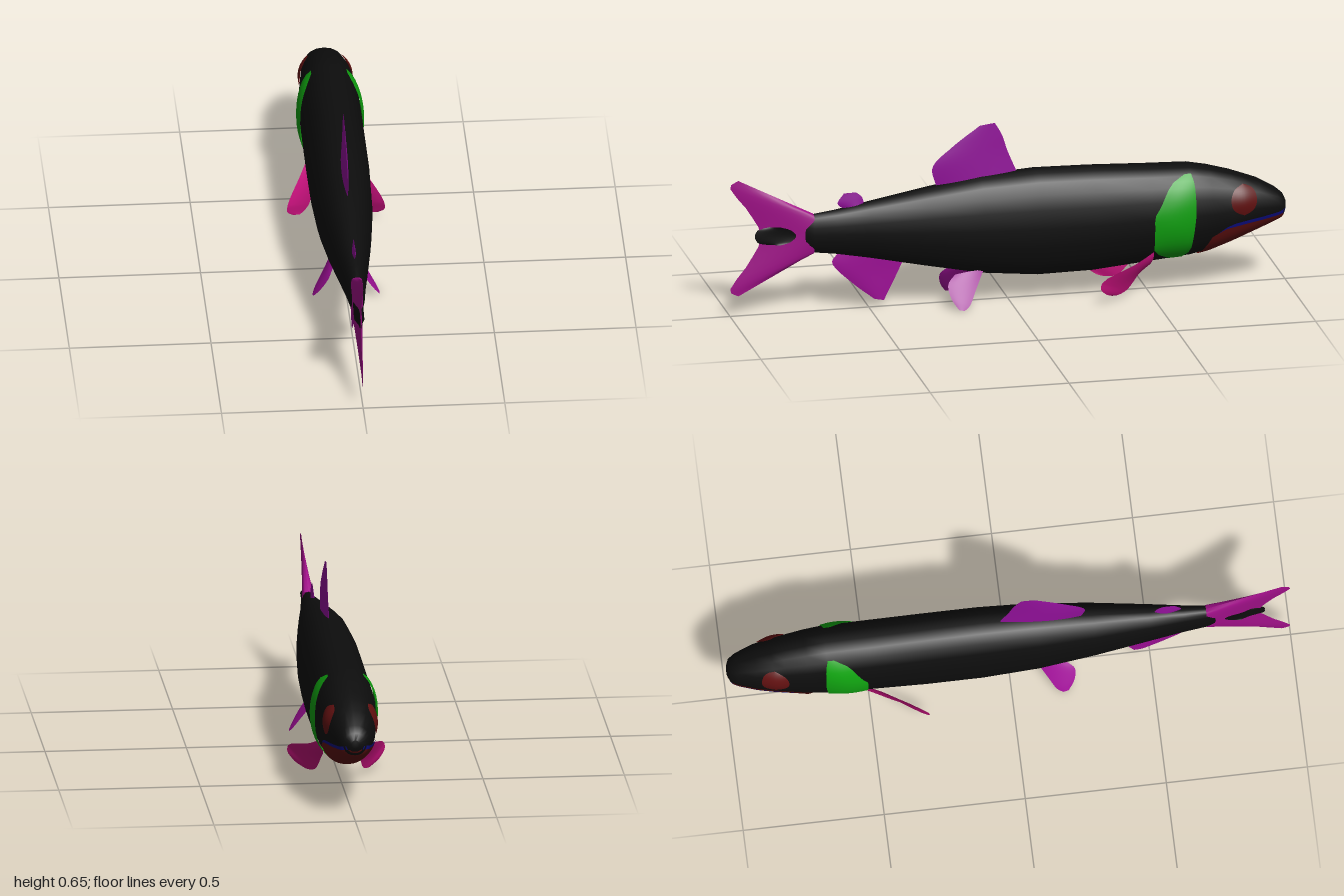
import * as THREE from 'three';

const paint = (name, color, side = THREE.DoubleSide) => {
  const m = new THREE.MeshStandardMaterial({ color, side });
  m.name = name;
  return m;
};

// Body stations: z, top, bottom, half width (the nose is at -z)
const STATIONS = [
  [-1, 0.302, 0.272, 0.015], [-0.99, 0.325, 0.245, 0.04], [-0.965, 0.347, 0.234, 0.055],
  [-0.9, 0.385, 0.208, 0.076], [-0.84, 0.408, 0.184, 0.087], [-0.8, 0.423, 0.168, 0.092],
  [-0.72, 0.446, 0.14, 0.102], [-0.65, 0.46, 0.125, 0.107], [-0.5, 0.465, 0.11, 0.108],
  [-0.3, 0.474, 0.091, 0.108], [-0.1, 0.478, 0.088, 0.107], [0.1, 0.465, 0.108, 0.1],
  [0.3, 0.432, 0.148, 0.081], [0.5, 0.396, 0.19, 0.055], [0.62, 0.374, 0.212, 0.038],
  [0.7, 0.364, 0.222, 0.029], [0.73, 0.345, 0.24, 0.022], [0.745, 0.31, 0.275, 0.01],
];
const POWER = 0.9; // slightly fuller than an ellipse

// Linear lookup in a table keyed by its first column
function lookup(table, z) {
  let i = 0;
  while (i < table.length - 2 && z > table[i + 1][0]) i++;
  const a = table[i], b = table[i + 1];
  const t = THREE.MathUtils.clamp((z - a[0]) / (b[0] - a[0]), 0, 1);
  return a.map((v, k) => v + (b[k] - v) * t);
}

// Point on the body at z, angle from the top, raised by a given amount
function skin(z, angle, lift = 0) {
  const [, top, bottom, w] = lookup(STATIONS, z);
  const h = (top - bottom) / 2, c = (top + bottom) / 2;
  const bend = (v) => Math.sign(v) * Math.abs(v) ** POWER;
  const x = w * bend(Math.sin(angle)), y = h * bend(Math.cos(angle));
  const n = new THREE.Vector2(x / (w * w), y / (h * h)).normalize();
  return new THREE.Vector3(x + n.x * lift, c + y + n.y * lift, z);
}

// Angle at which the body reaches height y
function angleAt(z, y) {
  const [, top, bottom] = lookup(STATIONS, z);
  const n = THREE.MathUtils.clamp((2 * y - top - bottom) / (top - bottom), -1, 1);
  return Math.acos(Math.sign(n) * Math.abs(n) ** (1 / POWER));
}

// Smooth surface through f(u, v); a second sheet can be added with the opposite facing
function sheet(nu, nv, ...fs) {
  const pos = [], index = [];
  fs.forEach((f, k) => {
    const base = pos.length / 3;
    for (let i = 0; i <= nu; i++)
      for (let j = 0; j <= nv; j++) pos.push(...f(i / nu, j / nv).toArray());
    for (let i = 0; i < nu; i++)
      for (let j = 0; j < nv; j++) {
        const a = base + i * (nv + 1) + j, b = a + 1, c = a + nv + 1, d = c + 1;
        if (k === 0) index.push(a, b, c, b, d, c);
        else index.push(a, c, b, b, c, d);
      }
  });
  const g = new THREE.BufferGeometry();
  g.setAttribute('position', new THREE.Float32BufferAttribute(pos, 3));
  g.setIndex(index);
  g.computeVertexNormals();
  return g;
}

function bodyGeometry() {
  const N = 20, pos = [], index = [];
  for (const [z] of STATIONS)
    for (let j = 0; j < N; j++) pos.push(...skin(z, (j / N) * Math.PI * 2).toArray());
  const last = STATIONS.length - 1;
  for (let i = 0; i < last; i++)
    for (let j = 0; j < N; j++) {
      const a = i * N + j, b = i * N + ((j + 1) % N);
      index.push(a, a + N, b, b, a + N, b + N);
    }
  // End caps
  for (let j = 1; j < N - 1; j++) {
    index.push(0, j, j + 1);
    index.push(last * N, last * N + j + 1, last * N + j);
  }
  const g = new THREE.BufferGeometry();
  g.setAttribute('position', new THREE.Float32BufferAttribute(pos, 3));
  g.setIndex(index);
  g.computeVertexNormals();
  return g;
}

// Fin from two edges, each a list of points, with a thickness rule
function fin(edgeA, edgeB, thickness) {
  const a = new THREE.CatmullRomCurve3(edgeA, false, 'centripetal');
  const b = new THREE.CatmullRomCurve3(edgeB, false, 'centripetal');
  const mid = (t) => a.getPoint(t).add(b.getPoint(t));
  const across = b.getPoint(0.5).sub(a.getPoint(0.5));
  const n = across.cross(mid(1).sub(mid(0))).normalize();
  const side = (s) => (u, v) =>
    a.getPoint(u).lerp(b.getPoint(u), v).addScaledVector(n, s * thickness(u, v));
  return sheet(16, 8, side(1), side(-1));
}
const lens = (t) => (u, v) => t * (1 - 0.9 * u) * 4 * v * (1 - v);
const flat = (list) => list.map(([z, y]) => new THREE.Vector3(0, y, z));
const solid = (list, s) => list.map(([x, y, z]) => new THREE.Vector3(s * x, y, z));

// Patch lying on the flank; rows give y, front z and rear z
function flankPatch(rows, s, edge, bulge) {
  return sheet(14, 8, (u, v) => {
    const [y, z0, z1] = lookup(rows, rows[0][0] + u * (rows.at(-1)[0] - rows[0][0]));
    const z = z0 + (z1 - z0) * v;
    const p = skin(z, angleAt(z, y), edge + bulge * Math.sin(Math.PI * u) * Math.sin(Math.PI * v));
    p.x *= s;
    return p;
  });
}

export function createModel() {
  const group = new THREE.Group();
  const black = paint('body black', 0x0d0d0d);
  const green = paint('gill green', 0x10a010);
  const red = paint('dark red', 0x601010);
  const blue = paint('mouth blue', 0x0c0c80);
  const purple = paint('dorsal purple', 0x901098);
  const magenta = paint('tail magenta', 0xa01088);
  const violet = paint('lower fin violet', 0xa01098);
  const pink = paint('pectoral pink', 0xc01078);
  const add = (name, geometry, material) => {
    const m = new THREE.Mesh(geometry, material);
    m.name = name;
    group.add(m);
  };

  add('body', bodyGeometry(), black);

  // Lower jaw wraps under the head below the mouth line (z, y)
  const mouth = [[-1, 0.27], [-0.97, 0.262], [-0.85, 0.248], [-0.77, 0.235],
    [-0.72, 0.21], [-0.7, 0.17], [-0.68, 0.14]];
  add('lowerJaw', sheet(24, 16, (u, v) => {
    const z = -0.997 + u * 0.317;
    const reach = Math.PI - angleAt(z, lookup(mouth, z)[1]);
    return skin(z, Math.PI + (2 * v - 1) * reach, 0.004);
  }), red);

  // Tail with a forked rear edge, and its dark spot
  const zRoot = 0.7;
  add('tailFin', fin(
    flat([[zRoot, 0.365], [zRoot, 0.36], [zRoot, 0.33], [zRoot, 0.293], [zRoot, 0.256], [zRoot, 0.226], [zRoot, 0.22]]),
    flat([[0.97, 0.505], [1, 0.485], [0.935, 0.39], [0.888, 0.293], [0.935, 0.195], [1, 0.098], [0.97, 0.078]]),
    (u, v) => 0.024 * (1 - v) * Math.sqrt(Math.max(0, Math.sin(Math.PI * u)))), magenta);
  add('tailSpot', fin(
    flat([[0.82, 0.328], [0.785, 0.315], [0.765, 0.293], [0.785, 0.272], [0.82, 0.262]]),
    flat([[0.865, 0.328], [0.9, 0.315], [0.91, 0.293], [0.9, 0.272], [0.865, 0.262]]),
    (u, v) => 0.003 + 0.015 * (1 - v)), black);

  // Fins on the centre line
  add('dorsalFin', fin(
    flat([[-0.04, 0.455], [0, 0.55], [0.02, 0.61], [0.045, 0.655]]),
    flat([[0.255, 0.43], [0.27, 0.505], [0.2, 0.575], [0.1, 0.648]]), lens(0.012)), purple);
  add('adiposeFin', fin(
    flat([[0.515, 0.38], [0.525, 0.415], [0.545, 0.433]]),
    flat([[0.58, 0.37], [0.612, 0.395], [0.59, 0.432]]), lens(0.008)), purple);
  add('analFin', fin(
    flat([[0.37, 0.185], [0.4, 0.12], [0.425, 0.07], [0.445, 0.028]]),
    flat([[0.61, 0.215], [0.632, 0.18], [0.56, 0.1], [0.48, 0.035]]), lens(0.01)), violet);

  // Paired parts
  const gillRows = [[0.13, -0.62, -0.57], [0.145, -0.635, -0.535], [0.17, -0.645, -0.51],
    [0.3, -0.658, -0.508], [0.335, -0.658, -0.53], [0.39, -0.657, -0.558], [0.425, -0.653, -0.59], [0.437, -0.648, -0.625]];
  const eyeRows = [];
  for (let i = 0; i <= 10; i++) {
    const t = -1 + i / 5, w = 0.048 * Math.sqrt(1 - t * t);
    eyeRows.push([0.333 + 0.053 * t, -0.835 - w, -0.835 + w]);
  }
  for (const [side, s] of [['left', 1], ['right', -1]]) {
    add(side + 'GillCover', flankPatch(gillRows, s, 0.003, 0.009), green);
    add(side + 'Eye', flankPatch(eyeRows, s, 0.003, 0.007), red);
    add(side + 'MouthLine', sheet(20, 2, (u, v) => {
      const z = -0.995 + u * 0.255;
      const y = lookup(mouth, z)[1] + 0.012 * v * Math.min(1, 4 - 4 * u);
      return skin(z, s * angleAt(z, y), 0.004);
    }), blue);
    add(side + 'PectoralFin', fin(
      solid([[0.065, 0.115, -0.5], [0.07, 0.085, -0.46], [0.085, 0.035, -0.415], [0.11, 0.024, -0.375], [0.125, 0.027, -0.35]], s),
      solid([[0.085, 0.165, -0.51], [0.115, 0.135, -0.44], [0.17, 0.092, -0.305], [0.172, 0.068, -0.3], [0.15, 0.04, -0.325]], s),
      lens(0.006)), pink);
    const splay = (list) => solid(list.map(([z, y]) => [0.045 + (0.125 - y) * 0.62, y, z]), s);
    add(side + 'PelvicFin', fin(
      splay([[0.095, 0.13], [0.13, 0.07], [0.16, 0.02], [0.18, 0.006]]),
      splay([[0.2, 0.12], [0.228, 0.09], [0.222, 0.045], [0.2, 0.01]]), lens(0.007)), violet);
  }
  return group;
}
